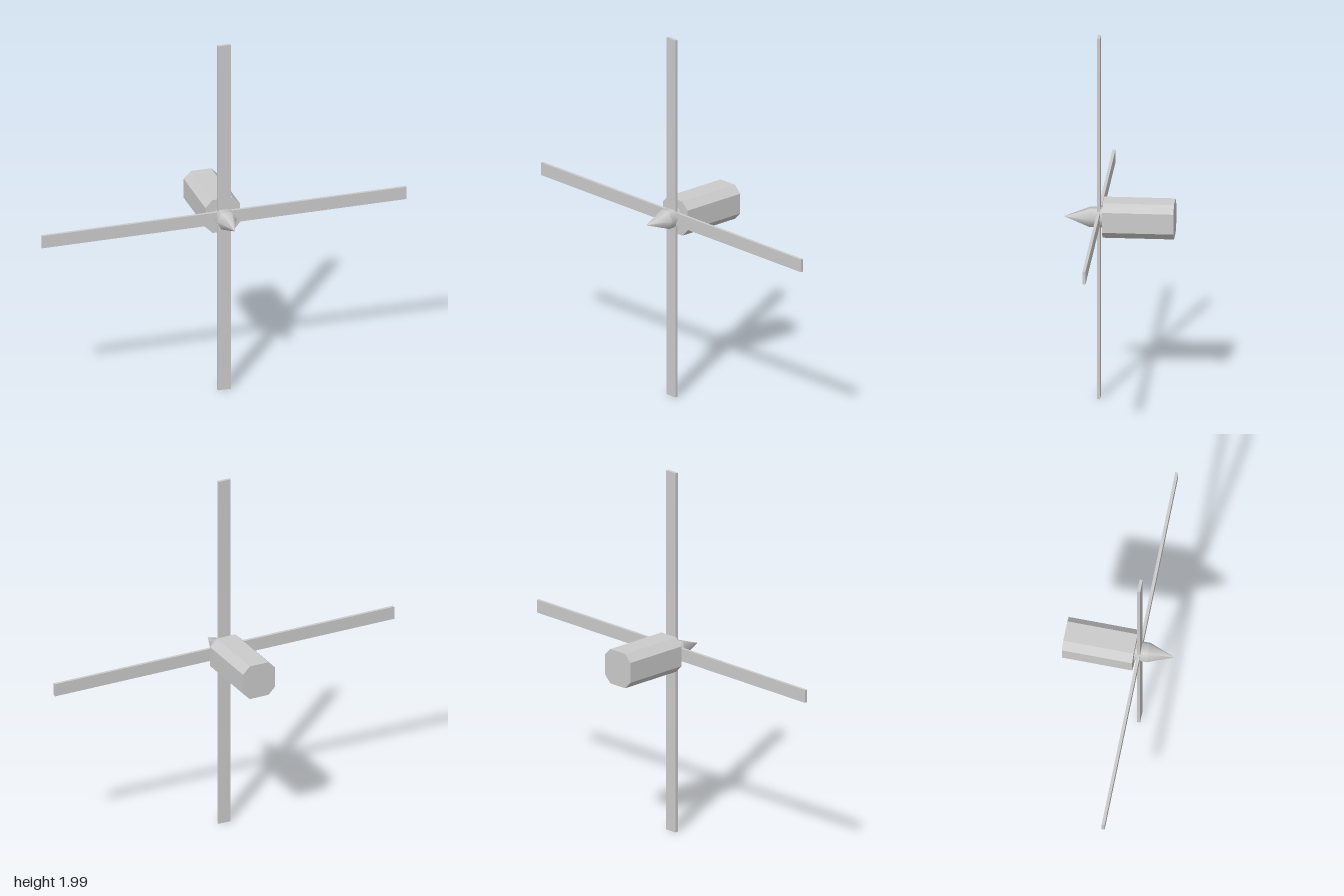
import * as THREE from 'three';

const CY = 0.995; // height of the rotor axis

export function createModel() {
  const group = new THREE.Group();
  const material = new THREE.MeshStandardMaterial({ color: 0xcccccc });
  const flat = new THREE.MeshStandardMaterial({ color: 0xcccccc, flatShading: true });

  const add = (name, geometry, mat, x, y, z) => {
    const mesh = new THREE.Mesh(geometry, mat);
    mesh.name = name;
    mesh.position.set(x, y, z);
    group.add(mesh);
    return mesh;
  };

  // Housing: square bar with chamfered corners
  const a = 0.095, c = 0.055;
  const outline = new THREE.Shape([
    [a, -c], [a, c], [c, a], [-c, a], [-a, c], [-a, -c], [-c, -a], [c, -a],
  ].map(([x, y]) => new THREE.Vector2(x, y)));
  const housing = new THREE.ExtrudeGeometry(outline, { depth: 0.375, bevelEnabled: false });
  add('housing', housing, flat, 0, CY, -0.293);

  // Six-sided hub and pointed spinner, smooth shaded, along z
  const alongZ = (top, bottom, length) =>
    new THREE.CylinderGeometry(top, bottom, length, 6, 1, false, Math.PI / 2).rotateX(Math.PI / 2);
  add('hub', alongZ(0.055, 0.055, 0.07), material, 0, CY, 0.117);
  add('spinner', alongZ(0, 0.055, 0.138), material, 0, CY, 0.221);

  // Four flat blades around the hub
  const root = 0.04;
  for (let i = 0; i < 4; i++) {
    const tip = i % 2 ? 0.995 : 1;
    const blade = new THREE.BoxGeometry(tip - root, 0.07, 0.016);
    blade.translate((tip + root) / 2, 0, 0);
    add('blade' + (i + 1), blade, flat, 0, CY, 0.105).rotation.z = i * Math.PI / 2;
  }
  return group;
}
